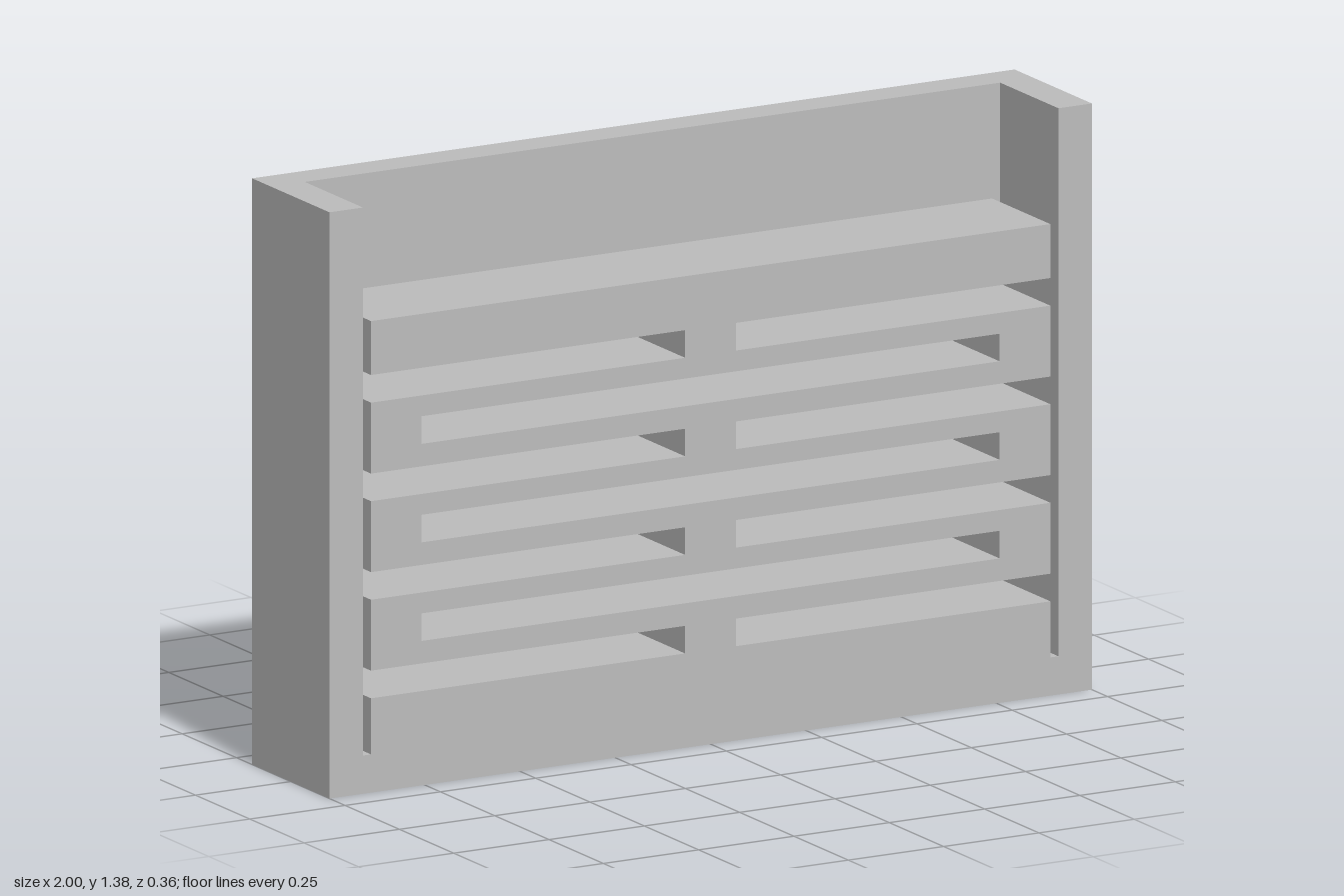
import * as THREE from 'three';

const HEIGHT = 1.38, HALF_DEPTH = 0.178, BACK_Z = -0.09;
const PITCH = 0.232, SLOT = 0.065;

export function createModel() {
  const model = new THREE.Group();
  model.name = 'slottedFlexureBlock';
  const grey = new THREE.MeshStandardMaterial({ color: 0xbcbcbc });
  grey.name = 'plainGrey';

  const add = (name, geometry, z) => {
    const mesh = new THREE.Mesh(geometry, grey);
    mesh.name = name;
    mesh.position.z = z;
    model.add(mesh);
    return mesh;
  };

  // Right half of the frame outline: side wall, narrow gap, then the notched spring
  const half = [[1, 0], [1, HEIGHT], [0.912, HEIGHT], [0.912, 0.09], [0.891, 0.09]];
  for (let i = 0; i < 4; i++) {
    const y = 0.222 + i * PITCH;
    half.push([0.891, y], [0.067, y], [0.067, y + SLOT], [0.891, y + SLOT]);
  }
  half.push([0.891, 1.11]);
  const mirrored = half.map(([x, y]) => [-x, y]).reverse();
  const outline = new THREE.Shape([...half, ...mirrored].map(([x, y]) => new THREE.Vector2(x, y)));

  // Closed slots between the side notches
  for (let i = 0; i < 3; i++) {
    const y = 0.34 + i * PITCH, w = 0.758;
    outline.holes.push(new THREE.Path([
      new THREE.Vector2(-w, y), new THREE.Vector2(-w, y + SLOT),
      new THREE.Vector2(w, y + SLOT), new THREE.Vector2(w, y),
    ]));
  }
  add('frameAndSpring', new THREE.ExtrudeGeometry(outline, {
    depth: HALF_DEPTH - BACK_Z, bevelEnabled: false,
  }), BACK_Z);

  // Solid wall closing the rear
  const thickness = BACK_Z + HALF_DEPTH;
  add('backWall', new THREE.BoxGeometry(2, HEIGHT, thickness), BACK_Z - thickness / 2)
    .position.y = HEIGHT / 2;

  return model;
}
